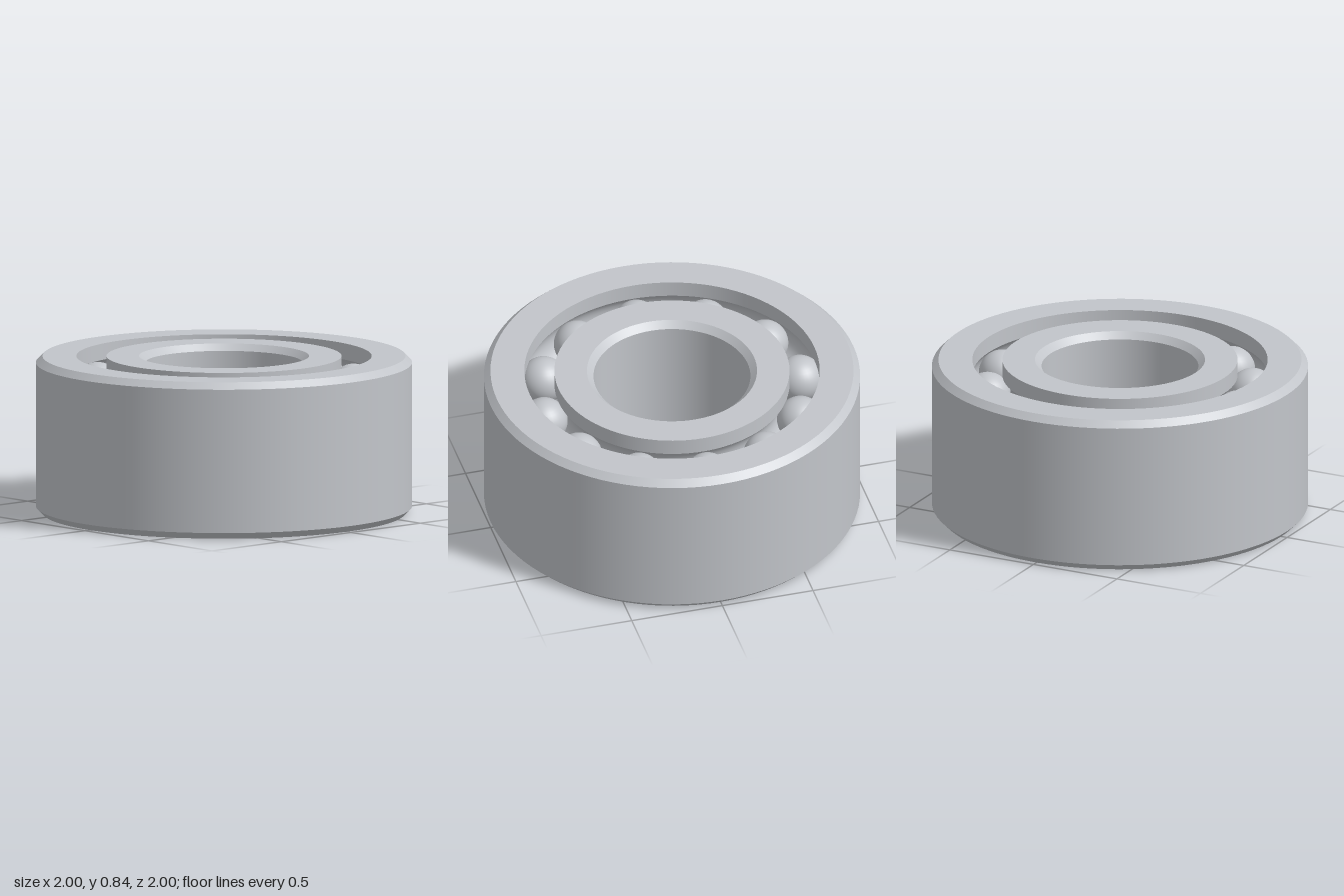
import * as THREE from 'three';
import { mergeGeometries } from 'three/addons/utils/BufferGeometryUtils.js';

const HEIGHT = 0.84;
const CHAMFER = 0.035;
const PITCH = 0.705;          // radius of the circle of balls
const BALL = 0.125;
const ROWS = [0.19, 0.65];    // heights of the two ball rows
const GROOVE = 0.13;
const COUNT = 12;
const SEGMENTS = 96;

// Spin each stretch of a profile on its own, so edges between stretches stay sharp
function ring(stretches, material, name) {
  const parts = stretches.map((points) =>
    new THREE.LatheGeometry(points.map(([r, y]) => new THREE.Vector2(r, y)), SEGMENTS));
  const mesh = new THREE.Mesh(mergeGeometries(parts), material);
  mesh.name = name;
  return mesh;
}

// Wall of radius r with a round groove at each ball row, listed from the bottom up
function groovedWall(r) {
  const side = Math.sign(r - PITCH);
  const half = Math.acos(Math.abs(r - PITCH) / GROOVE);
  const stretches = [];
  let last = [r, 0];
  for (const y of ROWS) {
    const arc = [];
    for (let i = 0; i <= 10; i++) {
      const a = -half + (2 * half * i) / 10;
      arc.push([PITCH + side * GROOVE * Math.cos(a), y + GROOVE * Math.sin(a)]);
    }
    stretches.push([last, arc[0]], arc);
    last = arc[10];
  }
  stretches.push([last, [r, HEIGHT]]);
  return stretches;
}

// Wall with a chamfer at both ends; dir is +1 when the chamfer widens the opening
function chamferedWall(r, dir) {
  const c = r + dir * CHAMFER;
  const p = [[c, 0], [r, CHAMFER], [r, HEIGHT - CHAMFER], [c, HEIGHT]];
  return [[p[0], p[1]], [p[1], p[2]], [p[2], p[3]]];
}

const downward = (stretches) => stretches.map((s) => [...s].reverse());

// Flat faces joining two radii, at the bottom and at the top
const endFaces = (inner, outer) => [
  [[inner, 0], [outer, 0]],
  [[outer, HEIGHT], [inner, HEIGHT]],
];

export function createModel() {
  const model = new THREE.Group();
  model.name = 'ballBearing';
  const steel = new THREE.MeshStandardMaterial({ color: 0xc2c5ca });
  steel.name = 'steel';

  // Outer ring: chamfered outside, grooved inside
  model.add(ring([
    ...chamferedWall(1, -1),
    ...endFaces(0.785, 1 - CHAMFER),
    ...downward(groovedWall(0.785)),
  ], steel, 'outerRing'));

  // Inner ring: grooved outside, chamfered bore
  model.add(ring([
    ...groovedWall(0.625),
    ...endFaces(0.417 + CHAMFER, 0.625),
    ...downward(chamferedWall(0.417, 1)),
  ], steel, 'innerRing'));

  // Two aligned rows of balls
  const ballGeometry = new THREE.SphereGeometry(BALL, 32, 20);
  ROWS.forEach((y, row) => {
    const group = new THREE.Group();
    group.name = row ? 'upperBallRow' : 'lowerBallRow';
    for (let i = 0; i < COUNT; i++) {
      const a = (i / COUNT) * Math.PI * 2;
      const ball = new THREE.Mesh(ballGeometry, steel);
      ball.name = 'ball';
      ball.position.set(Math.cos(a) * PITCH, y, Math.sin(a) * PITCH);
      group.add(ball);
    }
    model.add(group);
  });

  return model;
}
